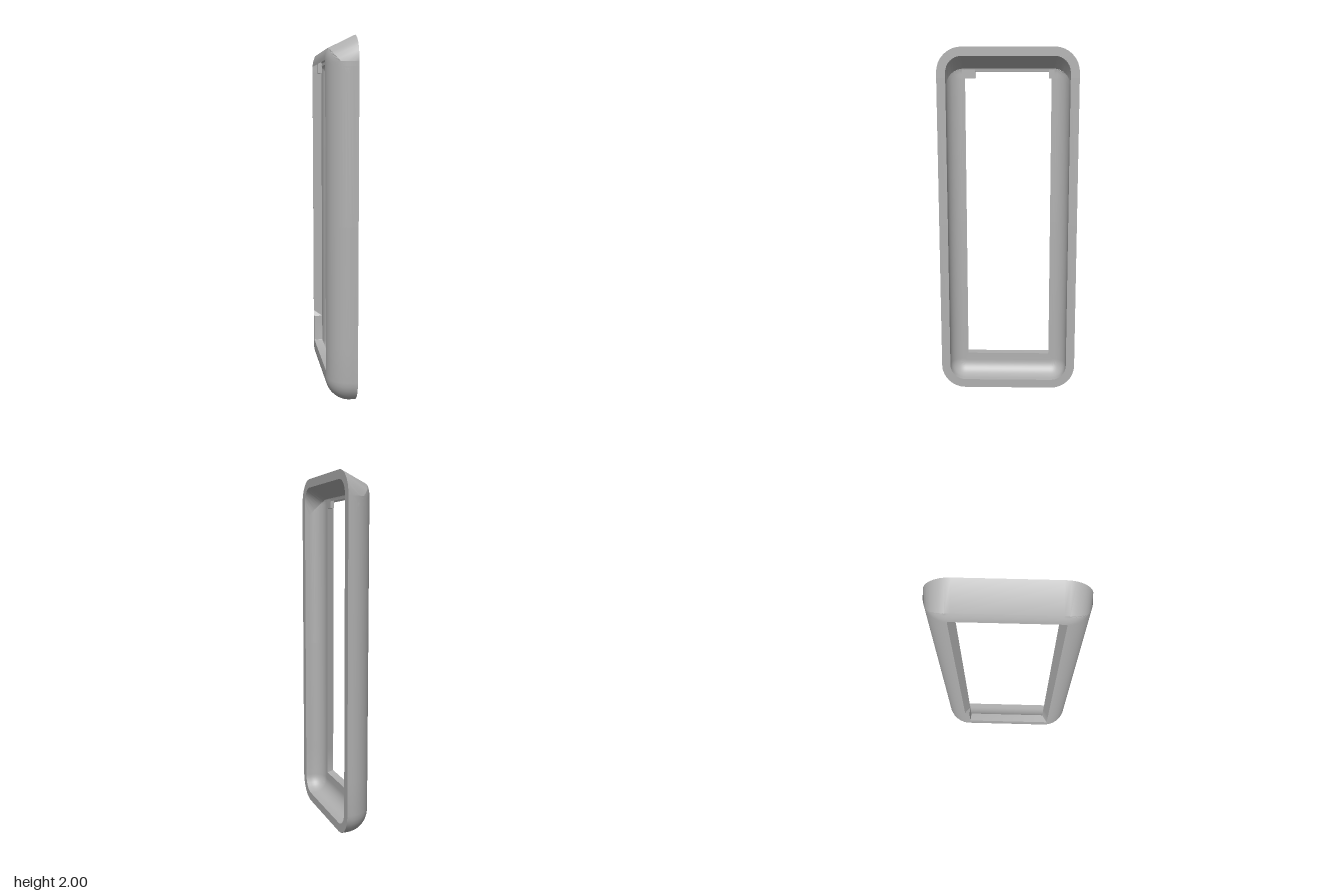
import * as THREE from 'three';
import { toCreasedNormals } from 'three/addons/utils/BufferGeometryUtils.js';

const HALF = 0.397;    // half width of the frame
const CORNER = 0.14;   // outline corner radius
const EDGE = 0.132;    // rounding of the outer front edge
const START = 0.028;   // depth at which the rounding starts
const WALL = 0.05;     // shell thickness

// Inward distance from the frame outline
function insetAt(x, y) {
  const qx = Math.abs(x) - (HALF - CORNER);
  const qy = Math.abs(y - 1) - (1 - CORNER);
  return CORNER - Math.hypot(Math.max(qx, 0), Math.max(qy, 0)) - Math.min(Math.max(qx, qy), 0);
}

// Depth of the rounded shell surface, moved inward by the wall thickness
function depthAt(x, y, wall) {
  const r = EDGE - wall;
  const m = THREE.MathUtils.clamp(insetAt(x, y) - wall, 0, r);
  return START + Math.sqrt(Math.max(0, r * r - (r - m) ** 2));
}

// Rounded rectangle, counter-clockwise, with extra points up the long sides
function outline(half, y0, y1, radius) {
  const pts = [];
  const sideYs = [0.33, 0.36, 1.0, 1.83, 1.855];
  const corner = (cx, cy, from) => {
    for (let i = 0; i <= 8; i++) {
      const a = from + (i / 8) * Math.PI / 2;
      pts.push([cx + radius * Math.cos(a), cy + radius * Math.sin(a)]);
    }
  };
  corner(half - radius, y0 + radius, -Math.PI / 2);
  sideYs.forEach(y => pts.push([half, y]));
  corner(half - radius, y1 - radius, 0);
  corner(-half + radius, y1 - radius, Math.PI / 2);
  sideYs.slice().reverse().forEach(y => pts.push([-half, y]));
  corner(-half + radius, y0 + radius, Math.PI);
  return pts;
}

const lift = (pts, wall) => pts.map(([x, y]) => [x, y, depthAt(x, y, wall)]);
const flat = pts => pts.map(([x, y]) => [x, y, 0]);

// Loops over one rounded skin, cut off at the window
function skin(wall, minHalf, maxY) {
  const loops = [];
  const steps = 12;
  for (let i = 0; i <= steps; i++) {
    const inset = wall + (EDGE - wall) * (1 - Math.cos((i / steps) * Math.PI / 2));
    const pts = outline(Math.max(HALF - inset, minHalf), inset, Math.min(2 - inset, maxY), CORNER - inset);
    loops.push(lift(pts, wall));
  }
  return loops;
}

function shellGeometry() {
  // Window edges: wide at the front, narrow inside, unchamfered at one lower side
  const windowFront = outline(0.277, 0.175, 1.93, 0.003)
    .map(([x, y]) => [x < 0 && y < 0.35 ? Math.max(x, -0.25) : x, y]);
  const windowBack = outline(0.246, 0.175, 1.885, 0.003);
  const rimOuter = flat(outline(HALF, 0, 2, CORNER));
  const rimInner = flat(outline(HALF - WALL, WALL, 2 - WALL, CORNER - WALL));
  const loops = [
    rimOuter,
    ...skin(0, 0.277, 1.93),
    lift(windowFront, 0),
    lift(windowBack, WALL),
    ...skin(WALL, 0.246, 1.885).reverse(),
    rimInner,
    rimOuter,
  ];
  const n = rimOuter.length;
  const index = [];
  for (let k = 0; k < loops.length - 1; k++) {
    for (let i = 0; i < n; i++) {
      const a = k * n + i, b = k * n + (i + 1) % n;
      index.push(a, b, b + n, a, b + n, a + n);
    }
  }
  const geo = new THREE.BufferGeometry();
  geo.setAttribute('position', new THREE.Float32BufferAttribute(loops.flat(2), 3));
  geo.setIndex(index);
  return toCreasedNormals(geo, 0.5);
}

export function createModel() {
  const grey = new THREE.MeshStandardMaterial({ color: 0xb0b0b0 });
  grey.name = 'grey';
  const model = new THREE.Group();
  model.name = 'bezel';

  // The frame stands turned about the vertical axis
  const frame = new THREE.Group();
  frame.name = 'frame';
  frame.rotation.y = -Math.acos(0.472);
  frame.position.set(0.0475, 0, -0.015);
  model.add(frame);

  const shell = new THREE.Mesh(shellGeometry(), grey);
  shell.name = 'shell';
  frame.add(shell);

  // Small tabs in the upper window corners
  const addTab = (name, x0, x1) => {
    const tab = new THREE.Mesh(new THREE.BoxGeometry(x1 - x0, 0.07, 0.022), grey);
    tab.name = name;
    tab.position.set((x0 + x1) / 2, 1.865, 0.12);
    frame.add(tab);
  };
  addTab('leftTab', 0.188, 0.262);
  addTab('rightTab', -0.262, -0.231);
  return model;
}
